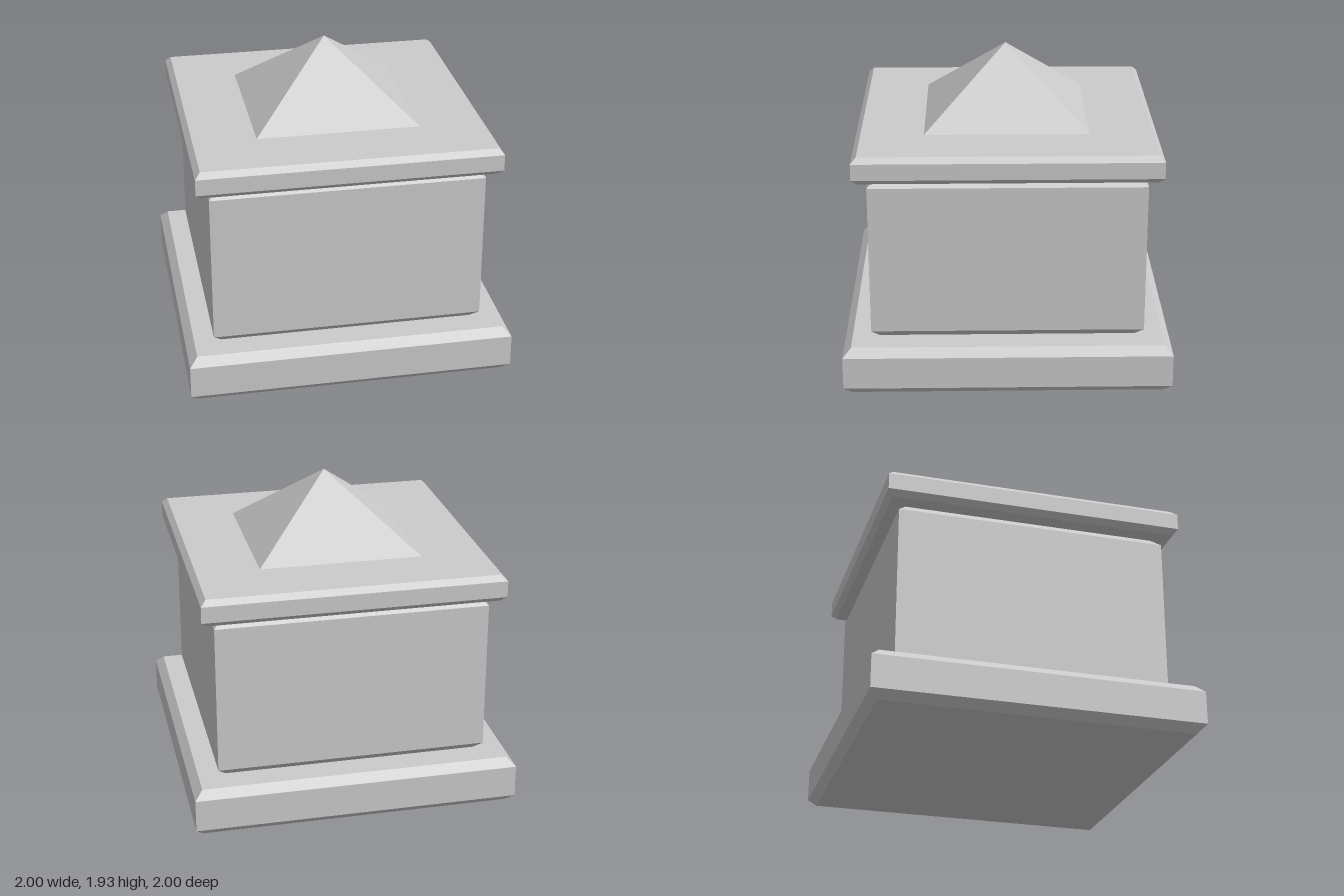
import * as THREE from 'three';

const material = new THREE.MeshStandardMaterial({ color: 0xcccccc, flatShading: true });

// Square block with chamfered top and bottom rims and sharp vertical corners
function chamferedBlock(name, half, bottom, top, chamfer) {
  const square = new THREE.Shape([
    new THREE.Vector2(-half, -half),
    new THREE.Vector2(half, -half),
    new THREE.Vector2(half, half),
    new THREE.Vector2(-half, half),
  ]);
  const geometry = new THREE.ExtrudeGeometry(square, {
    depth: top - bottom - 2 * chamfer,
    bevelEnabled: true,
    bevelThickness: chamfer,
    bevelSize: chamfer,
    bevelOffset: -chamfer,
    bevelSegments: 1,
  });
  geometry.rotateX(-Math.PI / 2);
  geometry.translate(0, bottom + chamfer, 0);
  const mesh = new THREE.Mesh(geometry, material);
  mesh.name = name;
  return mesh;
}

export function createModel() {
  const group = new THREE.Group();
  group.name = 'pedestal';

  // Stacked stone blocks
  group.add(
    chamferedBlock('base', 1, 0, 0.302, 0.05),
    chamferedBlock('body', 0.833, 0.302, 1.335, 0.05),
    chamferedBlock('cap', 0.917, 1.335, 1.502, 0.033),
  );

  // Pyramid finial, sides square to the axes
  const height = 0.433;
  const pyramid = new THREE.Mesh(
    new THREE.ConeGeometry(0.5 * Math.SQRT2, height, 4, 1, false, Math.PI / 4),
    material,
  );
  pyramid.name = 'pyramid';
  pyramid.position.y = 1.502 + height / 2;
  group.add(pyramid);

  return group;
}
